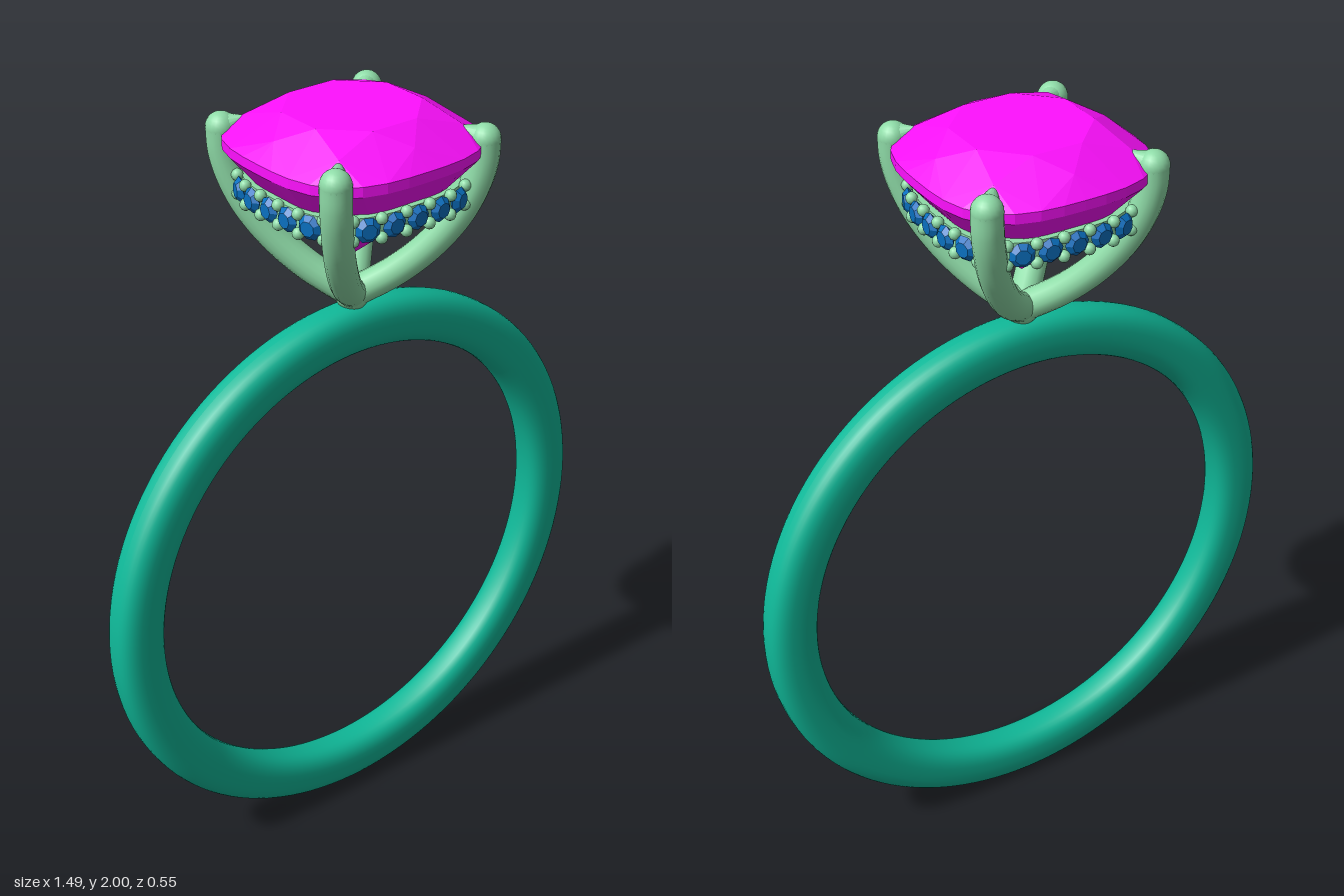
import * as THREE from 'three';
import { toCreasedNormals } from 'three/addons/utils/BufferGeometryUtils.js';
import { ConvexGeometry } from 'three/addons/geometries/ConvexGeometry.js';

const V = (x, y, z) => new THREE.Vector3(x, y, z);
const paint = (color, flatShading = false) => new THREE.MeshStandardMaterial({ color, flatShading });

// Cushion outline: how far it reaches at an angle, for a half width of 1
const cushion = (a) => (Math.abs(Math.cos(a)) ** 3 + Math.abs(Math.sin(a)) ** 3) ** (-1 / 3);

function cushionRing(half, y, count, offset = 0) {
  return Array.from({ length: count }, (_, i) => {
    const a = ((i + offset) / count) * Math.PI * 2;
    const r = half * cushion(a);
    return V(r * Math.cos(a), y, r * Math.sin(a));
  });
}

export function createModel() {
  const model = new THREE.Group();
  const bandMat = paint(0x0fb898);
  const settingMat = paint(0x8fdca8);
  const gemMat = paint(0xff10ff, true);
  const accentMat = paint(0x0a70c0, true);

  const add = (parent, name, geometry, material) => {
    const mesh = new THREE.Mesh(geometry, material);
    mesh.name = name;
    parent.add(mesh);
    return mesh;
  };

  // Band: soft-cornered section turned around the finger axis
  const soft = (t) => Math.sign(t) * Math.abs(t) ** 0.75;
  const section = Array.from({ length: 33 }, (_, i) => {
    const a = (i / 32) * Math.PI * 2;
    return new THREE.Vector2(0.679 + 0.066 * soft(Math.cos(a)), 0.055 * soft(Math.sin(a)));
  });
  const band = add(model, 'band', new THREE.LatheGeometry(section, 128), bandMat);
  band.rotation.x = Math.PI / 2;
  band.position.y = 0.745;

  // Centre stone: table, crown, girdle, pavilion and culet
  const W = 0.277;
  add(model, 'centreStone', new ConvexGeometry([
    ...cushionRing(W * 0.58, 2.0, 8, 0.5),
    ...cushionRing(W * 0.82, 1.967, 8),
    ...cushionRing(W, 1.925, 32),
    ...cushionRing(W, 1.9, 32),
    ...cushionRing(W * 0.6, 1.763, 8, 0.5),
    V(0, 1.62, 0),
  ]), gemMat);

  // Four curved prongs, each ending in a claw over the stone
  const profile = [[0, 1.515], [0.075, 1.582], [0.133, 1.655], [0.18, 1.74], [0.207, 1.82], [0.218, 1.88], [0.22, 1.932]];
  const path = new THREE.CatmullRomCurve3(profile.map(([d, y]) => V(d, y, d)));
  const tube = new THREE.TubeGeometry(path, 40, 0.038, 16);
  const tipStart = V(0.22, 1.932, 0.22);
  const tipEnd = V(0.168, 1.962, 0.168);
  const clawDir = tipEnd.clone().sub(tipStart);
  const claw = new THREE.ConeGeometry(0.037, clawDir.length(), 16);
  claw.translate(0, clawDir.length() / 2, 0);
  claw.applyQuaternion(new THREE.Quaternion().setFromUnitVectors(V(0, 1, 0), clawDir.clone().normalize()));
  for (let i = 0; i < 4; i++) {
    const prong = new THREE.Group();
    prong.name = 'prong';
    prong.rotation.y = (i * Math.PI) / 2;
    add(prong, 'prongStem', tube, settingMat);
    add(prong, 'prongEnd', new THREE.SphereGeometry(0.038, 20, 14), settingMat).position.copy(tipStart);
    add(prong, 'prongClaw', claw, settingMat).position.copy(tipStart);
    model.add(prong);
  }
  add(model, 'prongJoint', new THREE.SphereGeometry(0.044, 24, 16), settingMat).position.y = 1.515;

  // Halo rail: a turned ring pushed out to the cushion outline
  const halo = new THREE.Group();
  halo.name = 'halo';
  model.add(halo);
  const corners = [[0.2, -0.026], [0.234, -0.026], [0.234, 0.026], [0.2, 0.026], [0.2, -0.026]];
  const rail = new THREE.LatheGeometry(corners.map(([r, y]) => new THREE.Vector2(r, y)), 96);
  const pos = rail.attributes.position;
  for (let i = 0; i < pos.count; i++) {
    const k = cushion(Math.atan2(pos.getZ(i), pos.getX(i)));
    pos.setXYZ(i, pos.getX(i) * k, pos.getY(i) + 1.803, pos.getZ(i) * k);
  }
  add(halo, 'haloRail', toCreasedNormals(rail, 0.7), settingMat);

  // Small stones around the rail, with a bead above and below each gap
  const stone = new THREE.LatheGeometry(
    [[0, -0.026], [0.032, 0], [0.019, 0.013], [0, 0.013]].map(([r, y]) => new THREE.Vector2(r, y)), 8);
  const bead = new THREE.SphereGeometry(0.015, 12, 8);
  const outline = new THREE.CatmullRomCurve3(cushionRing(0.244, 1.803, 64), true);
  outline.getSpacedPoints(48).slice(0, 48).forEach((p, i) => {
    const out = V(p.x * Math.abs(p.x), 0, p.z * Math.abs(p.z)).normalize();
    if (i % 2 === 0) {
      const gem = add(halo, 'haloStone', stone, accentMat);
      gem.position.copy(p);
      gem.quaternion.setFromUnitVectors(V(0, 1, 0), out);
    } else {
      for (const side of [-1, 1]) {
        const b = add(halo, 'haloBead', bead, settingMat);
        b.position.copy(p);
        b.position.y += side * 0.024;
      }
    }
  });
  return model;
}
